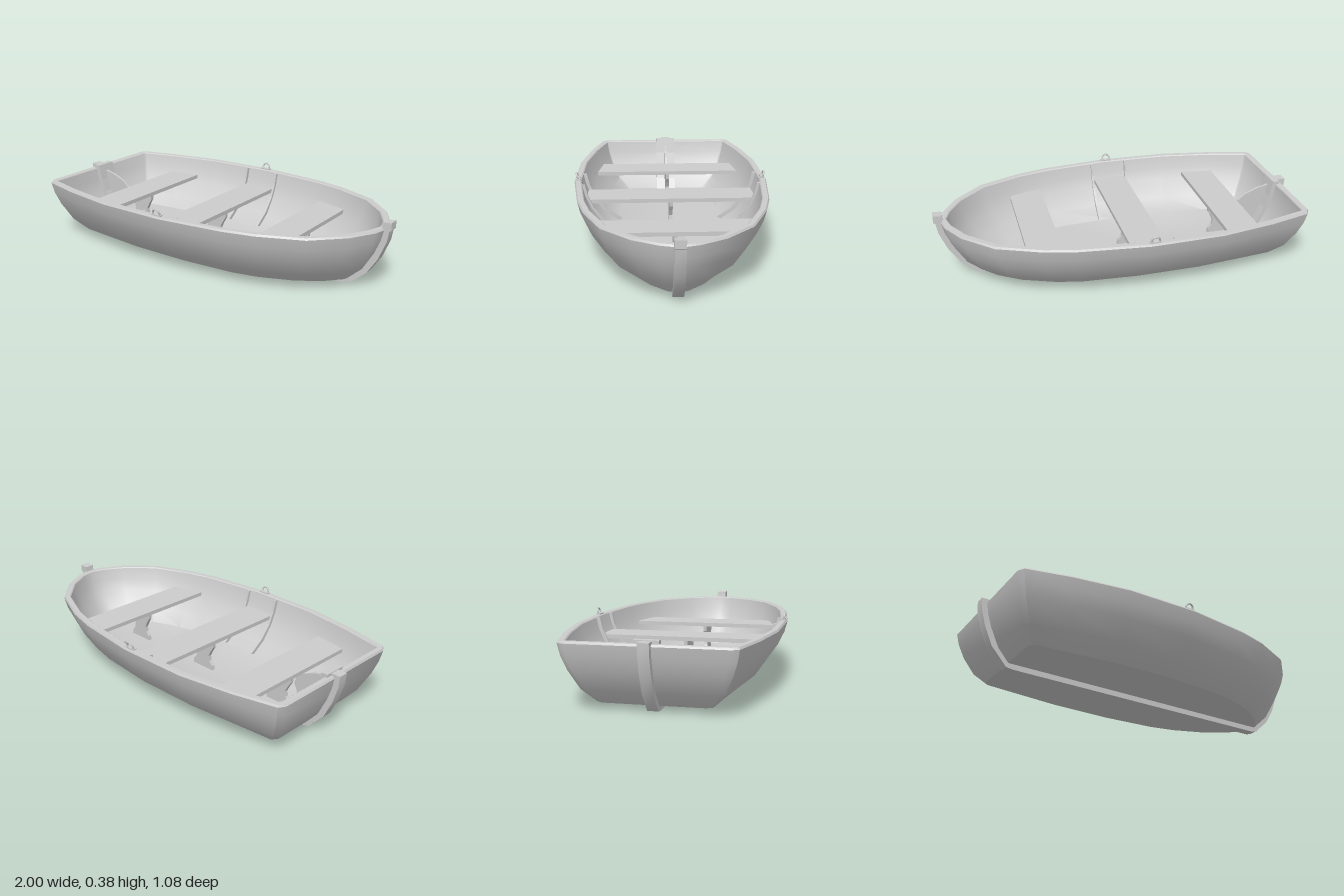
import * as THREE from 'three';
import { toCreasedNormals } from 'three/addons/utils/BufferGeometryUtils.js';

const material = new THREE.MeshStandardMaterial({ color: 0xcccccc, side: THREE.DoubleSide });

// Half outlines [x, z] from bow to stern, at the gunwale and at the bottom
const TOP = [[.97, 0], [.945, .09], [.87, .22], [.72, .365], [.49, .46], [.32, .5], [-.04, .54],
  [-.43, .53], [-.72, .48], [-.95, .42], [-.97, .385]];
const BOTTOM = [[.79, 0], [.775, .05], [.7, .13], [.58, .21], [.4, .28], [.26, .31], [-.04, .33],
  [-.38, .325], [-.62, .3], [-.81, .28], [-.83, .25]];
// Wall section: [height, flare], flare 0 = bottom outline, 1 = gunwale outline
const OUTER_WALL = [[.03, 0], [.1, .43], [.2, .76], [.27, .92], [.33, 1]];
const INNER_WALL = [[.335, 1], [.27, .92], [.2, .76], [.11, .43], [.05, 0]];

const fullRing = half => [...half, ...half.slice(1).reverse().map(([x, z]) => [x, -z])];

// Moves a closed outline inward by d
function inset(ring, d) {
  const n = ring.length;
  return ring.map(([x, z], i) => {
    const [ax, az] = ring[(i + n - 1) % n], [bx, bz] = ring[(i + 1) % n];
    const n1 = new THREE.Vector2(az - z, x - ax).normalize();
    const n2 = new THREE.Vector2(z - bz, bx - x).normalize();
    const m = n1.clone().add(n2).normalize();
    const k = d / Math.max(.6, m.dot(n1));
    return [x + m.x * k, z + m.y * k];
  });
}

function mesh(name, geometry, x = 0, y = 0, z = 0) {
  const m = new THREE.Mesh(geometry, material);
  m.name = name;
  m.position.set(x, y, z);
  return m;
}

// Flat outline extruded to a thickness centred on its own plane
function plate(points, depth) {
  const shape = new THREE.Shape(points.map(p => new THREE.Vector2(...p)));
  return new THREE.ExtrudeGeometry(shape, { depth, bevelEnabled: false }).translate(0, 0, -depth / 2);
}

// Hull skin: bottom, outer wall, rim, inner wall and floor as one loft
function hullGeometry() {
  const outTop = fullRing(TOP), outBottom = fullRing(BOTTOM);
  const inTop = inset(outTop, .038), inBottom = inset(outBottom, .03);
  const row = (top, bottom, [y, f]) =>
    top.map(([x, z], i) => [bottom[i][0] + (x - bottom[i][0]) * f, y, bottom[i][1] + (z - bottom[i][1]) * f]);
  const flat = (ring, y) => ring.map(([x]) => [x, y, 0]);
  const rows = [
    flat(outBottom, .03),
    ...OUTER_WALL.map(s => row(outTop, outBottom, s)),
    inset(outTop, .006).map(([x, z]) => [x, .34, z]),
    inset(outTop, .032).map(([x, z]) => [x, .34, z]),
    ...INNER_WALL.map(s => row(inTop, inBottom, s)),
    flat(inBottom, .05),
  ];
  const n = outTop.length, index = [];
  for (let i = 0; i < rows.length - 1; i++) {
    for (let j = 0; j < n; j++) {
      const k = (j + 1) % n;
      const a = i * n + j, b = i * n + k, c = a + n, d = b + n;
      index.push(a, c, d, a, d, b);
    }
  }
  const g = new THREE.BufferGeometry();
  g.setAttribute('position', new THREE.Float32BufferAttribute(rows.flat(2), 3));
  g.setIndex(index);
  return toCreasedNormals(g, .63);
}

export function createModel() {
  const boat = new THREE.Group();
  boat.name = 'rowingBoat';
  boat.add(mesh('hull', hullGeometry()));

  // Keel running up the stern and the bow
  boat.add(mesh('keel', toCreasedNormals(plate([
    [-1, .352], [-.995, .29], [-.97, .2], [-.925, .1], [-.84, .005], [-.8, 0], [.77, 0], [.8, .01],
    [.885, .085], [.94, .17], [.98, .27], [.99, .33], [1, .335], [1, .375], [.953, .37], [.95, .33],
    [.93, .25], [.88, .15], [.76, .035], [-.8, .035], [-.88, .13], [-.93, .25], [-.95, .352],
  ], .055), .5)));

  // Board on the inside of the transom, with its knee
  boat.add(mesh('transomBoard', plate([
    [-.95, .335], [-.95, .356], [-.915, .356], [-.895, .27], [-.872, .2], [-.83, .11], [-.79, .05],
    [-.82, .05], [-.9, .2],
  ], .12)));
  boat.add(mesh('sternKnee', plate([
    [-.92, .32], [-.84, .3], [-.77, .27], [-.73, .235], [-.72, .2], [-.74, .16], [-.76, .12],
    [-.755, .05], [-.81, .05], [-.9, .22],
  ], .014)));

  // Thwarts: [rear x, front x, half width rear, half width front]
  const thwarts = { rear: [-.715, -.53, .405, .435], middle: [-.17, .02, .475, .475], front: [.365, .55, .42, .37] };
  for (const [name, [x0, x1, w0, w1]] of Object.entries(thwarts)) {
    const seat = plate([[x0, -w0], [x1, -w1], [x1, w1], [x0, w0]], .022);
    boat.add(mesh(name + 'Thwart', seat.rotateX(Math.PI / 2), 0, .232, 0));

    // Curved support below the middle of the seat
    const side = [[.08, .225], [.078, .19], [.06, .16], [.045, .13], [.05, .1], [.07, .075], [.075, .045]];
    const support = plate([...side, ...side.slice().reverse().map(([x, y]) => [-x, y])], .02);
    boat.add(mesh(name + 'ThwartSupport', support, (x0 + x1) / 2, 0, 0));
  }

  // Ribs on both sides of the middle thwart
  const ribWall = INNER_WALL.map(([y, f]) => [.3 + .2 * f, y]);
  const ribOutline = [
    ...ribWall.map(([z, y]) => [z + .008, y]),
    ...ribWall.slice().reverse().map(([z, y]) => [z - .022, y + (y < .12 ? .012 : 0)]),
  ];
  for (const s of [1, -1]) {
    const sideName = s > 0 ? 'front' : 'back';
    for (const x of [-.178, .03]) {
      const rib = plate(ribOutline.map(([z, y]) => [z * s, y]), .013).rotateY(-Math.PI / 2);
      boat.add(mesh(sideName + 'Rib', rib, x, 0, 0));
    }

    // Oarlock: small base with an arched eye leaning outward
    const oarlock = new THREE.Group();
    oarlock.name = sideName + 'Oarlock';
    oarlock.add(mesh('oarlockBase', new THREE.BoxGeometry(.06, .008, .022), 0, .002, 0));
    const eye = new THREE.TorusGeometry(.021, .005, 8, 20);
    oarlock.add(mesh('oarlockEye', eye, 0, .014, .004 * s));
    oarlock.children[1].rotation.x = .3 * s;
    oarlock.position.set(-.065, .34, .519 * s);
    boat.add(oarlock);
  }
  return boat;
}
